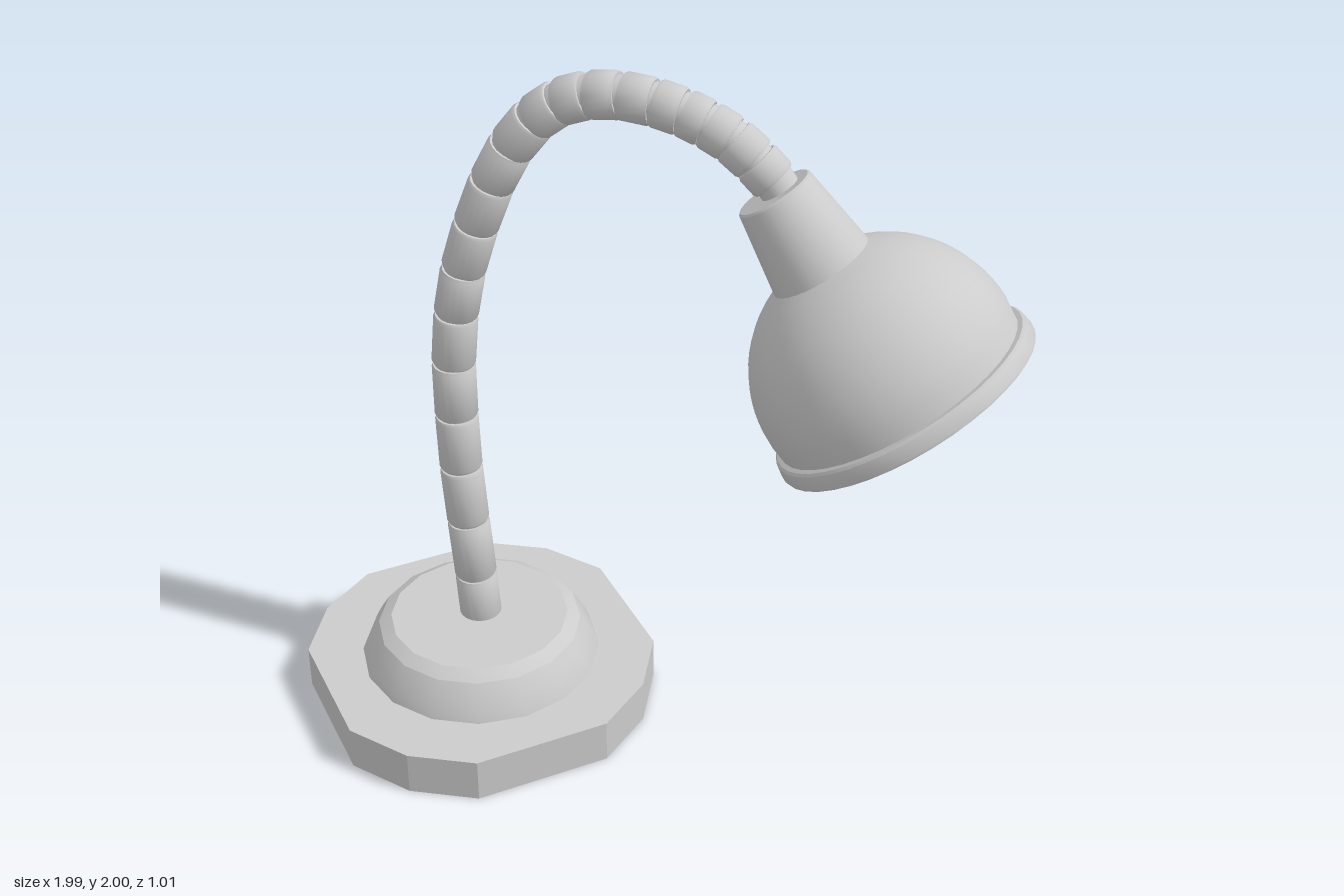
import * as THREE from 'three';
import { toCreasedNormals } from 'three/addons/utils/BufferGeometryUtils.js';

const grey = new THREE.MeshStandardMaterial({ color: 0xcccccc });
const greyDouble = new THREE.MeshStandardMaterial({ color: 0xcccccc, side: THREE.DoubleSide });

function part(name, geometry, parent, material = grey) {
  const mesh = new THREE.Mesh(geometry, material);
  mesh.name = name;
  parent.add(mesh);
  return mesh;
}

function lathe(profile, sides, crease = 0.6) {
  const points = profile.map(([r, y]) => new THREE.Vector2(r, y));
  return toCreasedNormals(new THREE.LatheGeometry(points, sides), crease);
}

// Foot: flat slab with a stepped, rounded plinth on top
function makeBase() {
  const base = new THREE.Group();
  base.name = 'base';
  base.position.x = -0.495;

  const outline = [];
  for (let i = 0; i < 16; i++) {
    if (i % 4 === 2) continue; // the diagonal corners are cut straight
    const a = (i * Math.PI) / 8;
    outline.push(new THREE.Vector2(0.505 * Math.cos(a), 0.505 * Math.sin(a)));
  }
  const slab = new THREE.ExtrudeGeometry(new THREE.Shape(outline), { depth: 0.13, bevelEnabled: false });
  slab.rotateX(-Math.PI / 2);
  part('baseSlab', slab, base);

  part('basePlinth', lathe([[0.345, 0.128], [0.335, 0.155], [0.315, 0.195], [0.292, 0.232], [0.255, 0.255], [0, 0.255]], 16, 0.45), base);
  return base;
}

// Flexible neck: collars between joints, over a thinner continuous core
function makeNeck() {
  const neck = new THREE.Group();
  neck.name = 'neck';
  const joints = [
    [-0.495, 0.2], [-0.507, 0.385], [-0.522, 0.57], [-0.535, 0.75], [-0.54, 0.92], [-0.54, 1.085],
    [-0.525, 1.24], [-0.497, 1.38], [-0.455, 1.515], [-0.405, 1.645], [-0.348, 1.755],
    [-0.283, 1.84], [-0.215, 1.895], [-0.14, 1.925], [-0.055, 1.937], [0.03, 1.932],
    [0.102, 1.918], [0.163, 1.897], [0.226, 1.867], [0.285, 1.822], [0.335, 1.775], [0.385, 1.7],
  ].map(([x, y]) => new THREE.Vector3(x, y, 0));

  const curve = new THREE.CatmullRomCurve3(joints);
  part('neckCore', new THREE.TubeGeometry(curve, 84, 0.05, 16), neck);

  const up = new THREE.Vector3(0, 1, 0);
  for (let i = 0; i < joints.length - 2; i++) {
    const dir = joints[i + 1].clone().sub(joints[i]);
    const h = dir.length() / 2 - 0.003;
    const r = 0.06;
    const segment = part('neckSegment', lathe(
      [[0.045, -h], [r - 0.004, -h], [r, -h + 0.008], [r, h - 0.008], [r - 0.004, h], [0.045, h]], 20), neck);
    segment.position.copy(joints[i]).addScaledVector(dir, 0.5);
    segment.quaternion.setFromUnitVectors(up, dir.normalize());
  }
  return neck;
}

// Lamp head: built upright with the opening at y = 0, then tilted
function makeHead() {
  const head = new THREE.Group();
  head.name = 'lampHead';

  const dome = (radius, from, to) => {
    const points = [];
    for (let i = 0; i <= 14; i++) {
      const a = from + ((to - from) * i) / 14;
      points.push([radius * Math.cos(a), 0.1 + radius * Math.sin(a)]);
    }
    return points;
  };
  part('shadeOuter', lathe([[0.335, 0.045], ...dome(0.34, 0, 1.18)], 40), head);
  part('shadeInner', lathe([[0.322, 0.005], ...dome(0.325, 0, Math.PI / 2)], 40), head, greyDouble);
  part('shadeRim', lathe(
    [[0.322, 0.005], [0.335, 0], [0.357, 0], [0.36, 0.008], [0.354, 0.042], [0.348, 0.048], [0.33, 0.05]], 40), head, greyDouble);
  part('shadeCollar', lathe([[0.132, 0.405], [0.132, 0.416], [0.1, 0.626], [0.095, 0.631], [0, 0.631]], 32), head);

  // Bulb and its holder
  const bulb = part('bulb', new THREE.SphereGeometry(0.142, 32, 20), head);
  bulb.position.y = 0.198;
  const holder = part('bulbHolder', new THREE.CylinderGeometry(0.06, 0.06, 0.14, 24), head);
  holder.position.y = 0.375;

  head.position.set(0.697, 1.231, 0);
  head.rotation.z = 0.615;
  return head;
}

export function createModel() {
  const model = new THREE.Group();
  model.name = 'deskLamp';
  const arm = new THREE.Group();
  arm.name = 'neckAndHead';
  arm.position.z = -0.017;
  arm.add(makeNeck(), makeHead());
  model.add(makeBase(), arm);
  return model;
}
